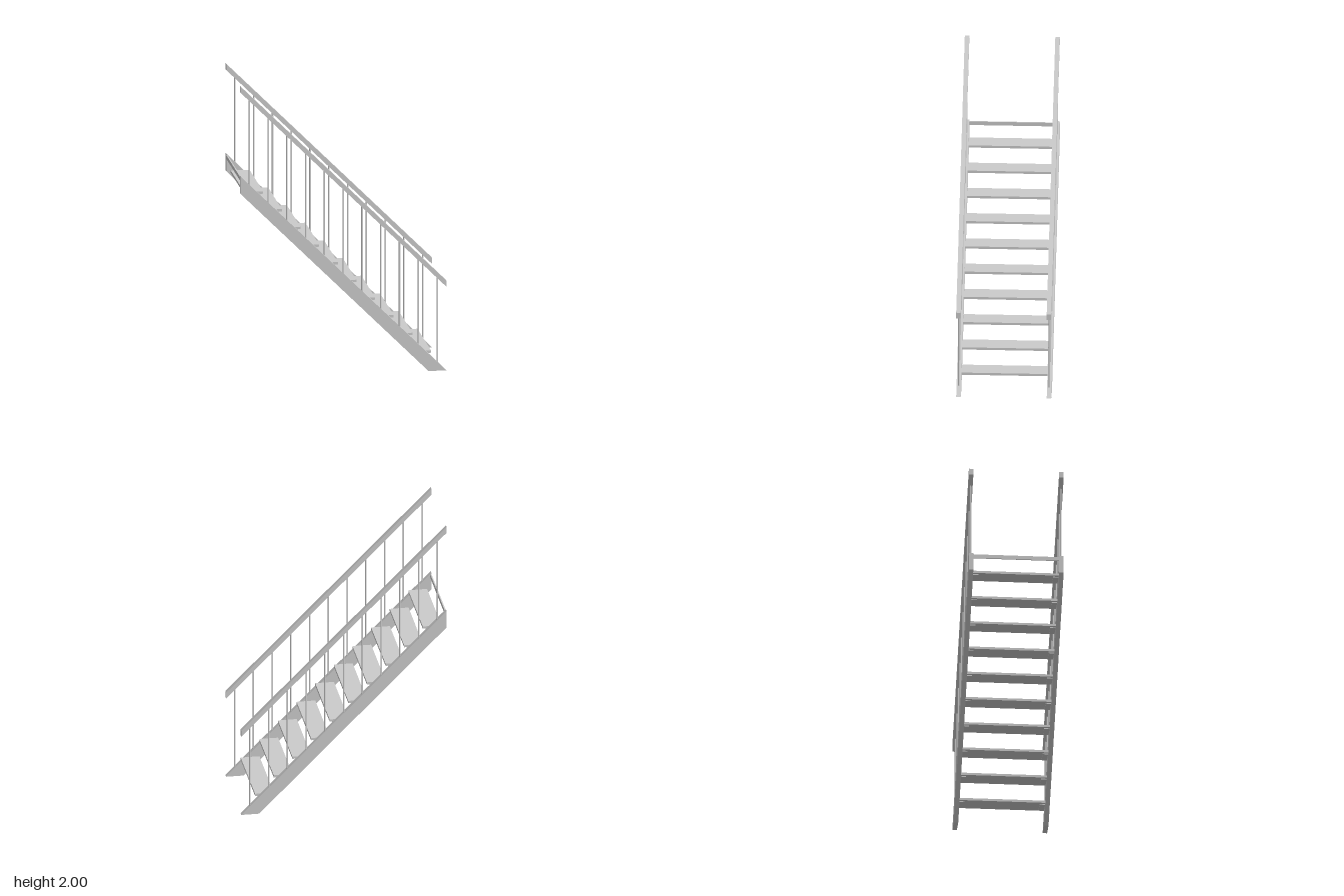
import * as THREE from 'three';

const material = new THREE.MeshStandardMaterial({ color: 0xcccccc });

function mesh(name, geometry, x = 0, y = 0, z = 0) {
  const m = new THREE.Mesh(geometry, material);
  m.name = name;
  m.position.set(x, y, z);
  return m;
}

// Side profile in x/y, extruded to a thickness centred on z
function slab(points, thickness) {
  const shape = new THREE.Shape(points.map(([x, y]) => new THREE.Vector2(x, y)));
  return new THREE.ExtrudeGeometry(shape, { depth: thickness, bevelEnabled: false })
    .translate(0, 0, -thickness / 2);
}

export function createModel() {
  const group = new THREE.Group();
  const half = 0.69, sideZ = 0.3, sideWidth = 0.03;
  const slope = 1.385 / (2 * half);
  const stringerTop = x => (half - x) * slope;
  const railLift = 0.615, railHeight = 0.042;

  const stringer = slab([[-half, 1.265], [half - 0.12, 0], [half, 0], [-half, 1.385]], sideWidth);
  const rail = slab([
    [-half, 2 - railHeight], [half, railLift - railHeight], [half, railLift], [-half, 2],
  ], sideWidth);

  // Sloping sides with handrails and balusters
  for (const [side, s] of [['left', 1], ['right', -1]].map(([n, v]) => [v > 0 ? 'front' : 'back', v])) {
    group.add(mesh(side + 'Stringer', stringer, 0, 0, s * sideZ));
    group.add(mesh(side + 'Handrail', rail, 0, 0, s * sideZ));
    const balusters = new THREE.Group();
    balusters.name = side + 'Balusters';
    const length = railLift - railHeight + 0.03;
    const rod = new THREE.CylinderGeometry(0.0055, 0.0055, length, 12);
    for (let i = 0; i < 11; i++) {
      const x = -0.63 + i * 0.126;
      balusters.add(mesh('baluster', rod, x, stringerTop(x) - 0.015 + length / 2, s * sideZ));
    }
    group.add(balusters);
  }

  // Treads, each resting on a bracket at either end
  const depth = 0.126, innerZ = sideZ - sideWidth / 2;
  const board = new THREE.BoxGeometry(depth, 0.016, innerZ * 2);
  const bracket = new THREE.BoxGeometry(0.09, 0.006, 0.036);
  for (let i = 0; i < 10; i++) {
    const step = new THREE.Group();
    step.name = 'step';
    step.position.set(0.592 - depth / 2 - i * 0.1252, 0.125 + i * 0.1263, 0);
    step.add(mesh('tread', board));
    for (const s of [1, -1]) step.add(mesh('treadBracket', bracket, 0, -0.011, s * (innerZ - 0.018)));
    group.add(step);
  }

  // Cross bar joining the upper ends of the sides
  group.add(mesh('topCrossBar', new THREE.BoxGeometry(0.008, 0.026, innerZ * 2), -half + 0.004, 1.363, 0));
  return group;
}
